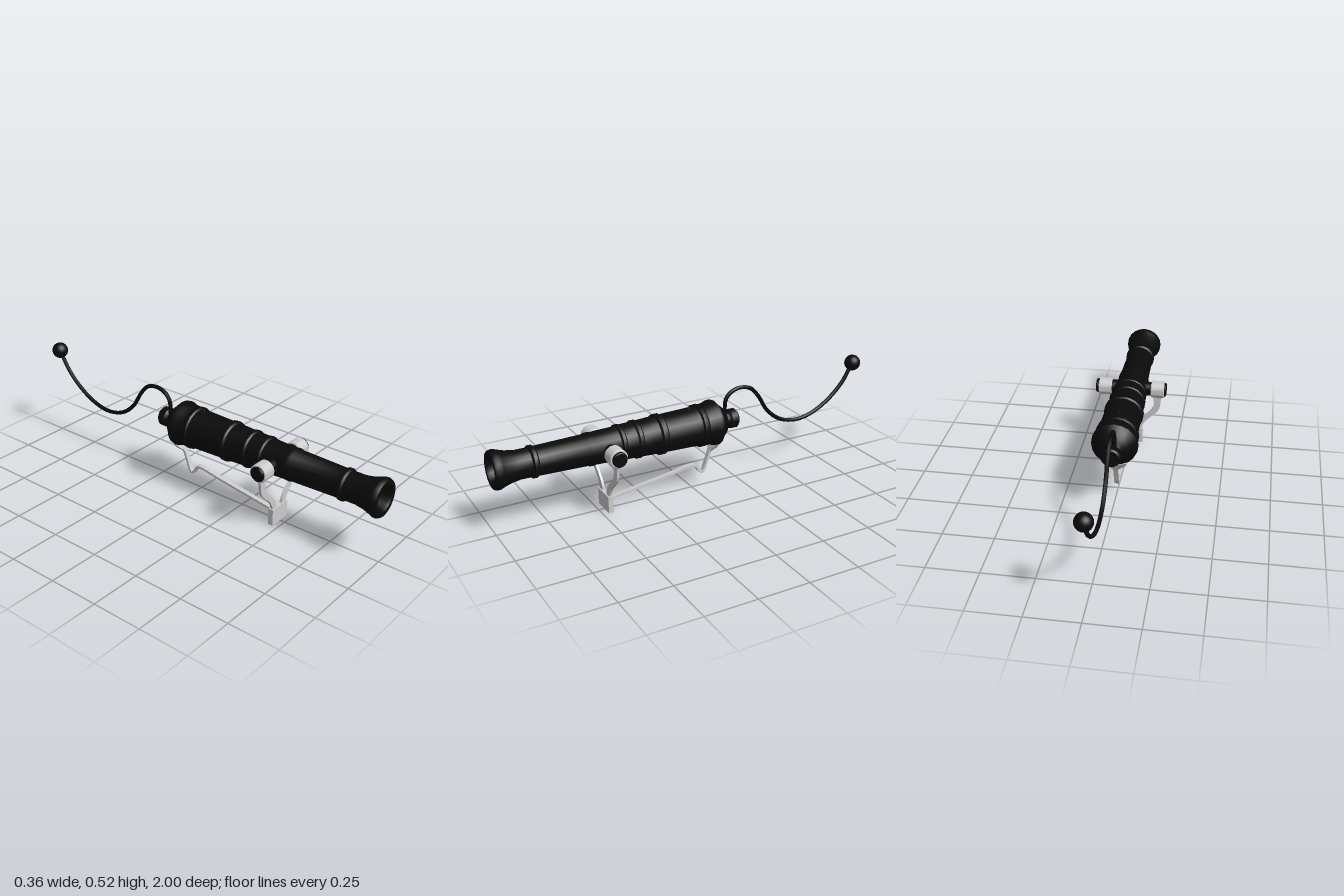
import * as THREE from 'three';
import { toCreasedNormals } from 'three/addons/utils/BufferGeometryUtils.js';

const iron = new THREE.MeshStandardMaterial({ color: 0x0a0a0a });
const grey = new THREE.MeshStandardMaterial({ color: 0xcccccc });
const AXIS_Y = 0.322, YOKE_Z = 0.46, YOKE_X = -0.003;

export function createModel() {
  const group = new THREE.Group();
  const add = (name, geometry, material, x = 0, y = 0, z = 0) => {
    const mesh = new THREE.Mesh(geometry, material);
    mesh.name = name;
    mesh.position.set(x, y, z);
    group.add(mesh);
    return mesh;
  };
  // Turned part from [radius, position] pairs
  const turned = (profile, sides) => toCreasedNormals(
    new THREE.LatheGeometry(profile.map(([r, h]) => new THREE.Vector2(r, h)), sides), 0.6);

  // Barrel: rear knob, breech, reinforcing rings, flared muzzle and hollow bore
  const barrel = turned([
    [0, -0.246], [0.04, -0.246], [0.048, -0.238], [0.048, -0.205], [0.04, -0.198],
    [0.036, -0.185], [0.05, -0.175], [0.07, -0.165], [0.09, -0.14], [0.111, -0.122], [0.113, -0.108],
    [0.105, -0.085], [0.1, -0.05], [0.105, -0.042], [0.105, -0.022], [0.098, -0.015], [0.096, 0.01],
    [0.092, 0.165], [0.099, 0.172], [0.099, 0.195], [0.091, 0.203],
    [0.087, 0.29], [0.092, 0.296], [0.092, 0.312], [0.086, 0.32],
    [0.084, 0.375], [0.088, 0.38], [0.088, 0.395], [0.081, 0.402],
    [0.077, 0.52], [0.079, 0.53], [0.079, 0.545], [0.075, 0.552],
    [0.069, 0.795], [0.076, 0.802], [0.076, 0.818], [0.068, 0.826],
    [0.068, 0.88], [0.075, 0.925], [0.086, 0.96], [0.092, 0.975], [0.092, 0.988], [0.086, 1],
    [0.064, 1], [0.058, 0.985], [0.056, 0.7], [0, 0.7],
  ], 20).rotateX(Math.PI / 2);
  add('barrel', barrel, iron, 0, AXIS_Y);

  // Touch hole spike on the breech
  add('touchHole', new THREE.ConeGeometry(0.008, 0.025, 8), iron, 0, 0.425, 0.015);

  // Wavy tail with a ball grip
  const tail = new THREE.CatmullRomCurve3([
    [0.34, -0.19], [0.42, -0.195], [0.453, -0.222], [0.469, -0.275], [0.455, -0.335],
    [0.405, -0.383], [0.32, -0.437], [0.257, -0.515], [0.232, -0.615], [0.25, -0.715],
    [0.305, -0.815], [0.385, -0.9], [0.478, -0.957],
  ].map(([y, z]) => new THREE.Vector3(-0.01, y, z)));
  add('tail', new THREE.TubeGeometry(tail, 72, 0.01, 8), iron);
  add('tailBall', new THREE.SphereGeometry(0.041, 20, 14), iron, -0.01, 0.482, -0.959);

  // Trunnion pin through the barrel
  const pin = turned([
    [0, -0.182], [0.032, -0.182], [0.036, -0.177], [0.036, 0.177], [0.032, 0.182], [0, 0.182],
  ], 24).rotateZ(Math.PI / 2);
  add('trunnionPin', pin, iron, 0, AXIS_Y - 0.001, YOKE_Z);

  // Yoke: a sleeve and a curved flat arm on each side
  const sleeve = turned([
    [0, -0.034], [0.041, -0.034], [0.044, -0.031], [0.044, 0.031], [0.041, 0.034], [0, 0.034],
  ], 28).rotateZ(Math.PI / 2);
  for (const [side, s] of [['left', 1], ['right', -1]]) {
    add(side + 'Sleeve', sleeve, grey, YOKE_X + s * 0.136, AXIS_Y - 0.001, YOKE_Z);
    const arm = new THREE.Shape();
    arm.moveTo(s * 0.02, 0.078);
    arm.bezierCurveTo(s * 0.022, 0.115, s * 0.04, 0.135, s * 0.07, 0.163);
    arm.bezierCurveTo(s * 0.1, 0.192, s * 0.115, 0.21, s * 0.116, 0.238);
    arm.quadraticCurveTo(s * 0.116, 0.268, s * 0.108, 0.285);
    arm.lineTo(s * 0.163, 0.285);
    arm.quadraticCurveTo(s * 0.15, 0.268, s * 0.15, 0.235);
    arm.bezierCurveTo(s * 0.148, 0.2, s * 0.132, 0.185, s * 0.1, 0.156);
    arm.bezierCurveTo(s * 0.07, 0.13, s * 0.055, 0.105, s * 0.05, 0.078);
    const plate = new THREE.ExtrudeGeometry(arm, { depth: 0.012, bevelEnabled: false, curveSegments: 8 });
    add(side + 'Arm', toCreasedNormals(plate, 0.6), grey, YOKE_X, 0, YOKE_Z - 0.006);
  }
  add('yokeBase', new THREE.BoxGeometry(0.116, 0.083, 0.025), grey, YOKE_X, 0.0415, YOKE_Z);

  // Support bar: a box bent along a path, flaring into a cradle under the breech
  const path = new THREE.CatmullRomCurve3([
    [0.045, 0.455], [0.069, 0.3], [0.095, 0.13], [0.116, 0.005], [0.112, -0.02],
    [0.077, -0.043], [0.071, -0.058], [0.083, -0.067], [0.145, -0.09], [0.195, -0.11], [0.222, -0.124],
  ].map(([y, z]) => new THREE.Vector3(0, y, z)), false, 'centripetal');
  const steps = 64;
  const bar = new THREE.BoxGeometry(1, 1, 1, 8, 1, steps);
  const pos = bar.attributes.position;
  for (let i = 0; i < pos.count; i++) {
    const t = THREE.MathUtils.clamp(0.5 - pos.getZ(i), 0, 1);
    const p = path.getPointAt(t), d = path.getTangentAt(t);
    const flare = THREE.MathUtils.smoothstep(t, 0.925, 0.99);
    const x = pos.getX(i) * (0.023 + 0.09 * flare);
    const h = pos.getY(i) * 0.012;
    // The cradle edges curl up around the barrel
    pos.setXYZ(i, x + YOKE_X, p.y - d.z * h + flare * x * x * 3, p.z + d.y * h);
  }
  bar.computeVertexNormals();
  add('supportBar', bar, grey);

  return group;
}
